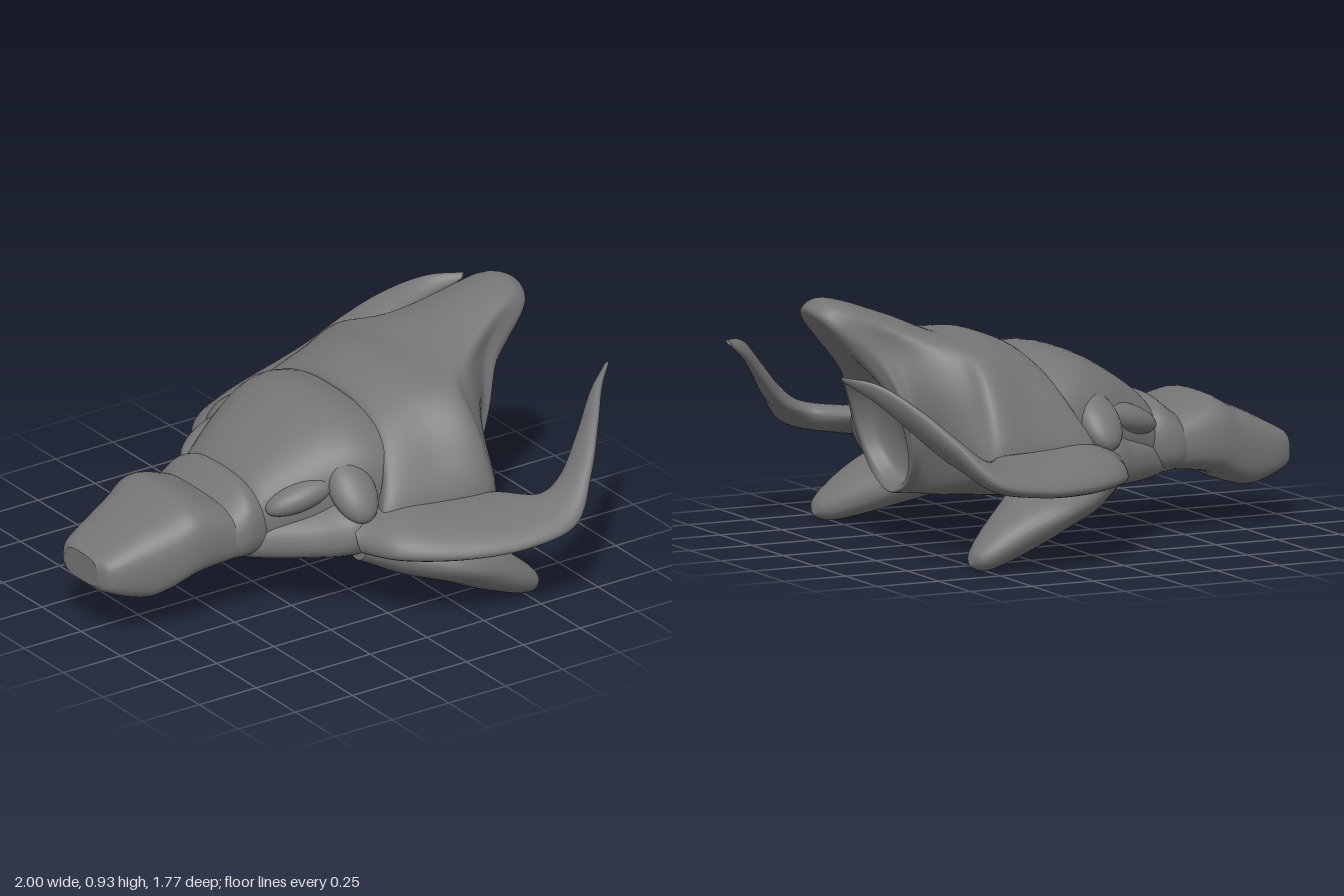
import * as THREE from 'three';

const V = (p) => new THREE.Vector3(...p);

// Smooth skin through closed rings of control points, with flat end caps
function skin(rings, around = 48, steps = 8) {
  const curves = rings.map((r) => new THREE.CatmullRomCurve3(r, true));
  const rows = (rings.length - 1) * steps;
  const pos = [], idx = [], grid = [];
  for (let j = 0; j < around; j++) {
    const rail = new THREE.CatmullRomCurve3(curves.map((c) => c.getPoint(j / around)));
    grid.push(rail.getPoints(rows));
  }
  for (let i = 0; i <= rows; i++) for (let j = 0; j < around; j++) pos.push(...grid[j][i].toArray());
  for (let i = 0; i < rows; i++) for (let j = 0; j < around; j++) {
    const k = (j + 1) % around, a = i * around + j, b = i * around + k;
    idx.push(a, b, a + around, b, b + around, a + around);
  }
  for (const i of [0, rows]) {
    const base = pos.length / 3, mid = new THREE.Vector3();
    for (let j = 0; j < around; j++) {
      pos.push(...grid[j][i].toArray());
      mid.addScaledVector(grid[j][i], 1 / around);
    }
    pos.push(...mid.toArray());
    for (let j = 0; j < around; j++) {
      const a = base + j, b = base + (j + 1) % around;
      idx.push(...(i ? [a, b, base + around] : [b, a, base + around]));
    }
  }
  const g = new THREE.BufferGeometry();
  g.setAttribute('position', new THREE.Float32BufferAttribute(pos, 3));
  g.setIndex(idx);
  g.computeVertexNormals();
  return g;
}

// Full ring from a half outline running top centre -> +z side -> bottom centre
function mirrorRing(half) {
  const back = half.slice(1, -1).reverse().map(([x, y, z]) => [x, y, -z]);
  return [...half, ...back].map(V);
}

// Rounded hull section: x, top, bottom, half width; e = 1 is elliptical, less is boxier
function section([x, top, bot, w], e) {
  const mid = bot + (top - bot) * 0.4, half = [];
  for (let i = 0; i <= 8; i++) {
    const a = (i / 8) * Math.PI, c = Math.cos(a);
    const y = mid + (c > 0 ? top - mid : bot - mid) * Math.abs(c) ** e;
    half.push([x, y, i % 8 ? w * Math.sin(a) ** e : 0]);
  }
  return mirrorRing(half);
}

// Blade-like limb: stations of [outer edge, inner edge, half thickness]
function limb(stations, side) {
  const st = stations.map(([o, i, t]) => {
    const O = V(o), I = V(i);
    O.z *= side;
    I.z *= side;
    return { c: O.clone().add(I).multiplyScalar(0.5), a: O.sub(I).multiplyScalar(0.5), t };
  });
  const rings = st.map(({ c, a, t }, k) => {
    const dir = st[Math.min(k + 1, st.length - 1)].c.clone().sub(st[Math.max(k - 1, 0)].c);
    const n = dir.cross(a).normalize().multiplyScalar(t);
    return Array.from({ length: 10 }, (_, j) => {
      const q = (j / 10) * Math.PI * 2;
      return c.clone().addScaledVector(a, Math.cos(q)).addScaledVector(n, Math.sin(q));
    });
  });
  return skin(rings, 30);
}

// Nozzle ring on a plane that leans back with height
function nozzleRing(x, ry, rz) {
  return Array.from({ length: 12 }, (_, j) => {
    const q = (j / 12) * Math.PI * 2, dy = ry * Math.cos(q);
    return new THREE.Vector3(x + dy * 0.25, 0.44 + dy, rz * Math.sin(q));
  });
}

export function createModel() {
  const group = new THREE.Group();
  const mat = new THREE.MeshStandardMaterial({ color: 0x757575 });
  const add = (name, geo) => {
    const m = new THREE.Mesh(geo, mat);
    m.name = name;
    group.add(m);
    return m;
  };
  const hull = (name, e, rows) => add(name, skin(rows.map((r) => section(r, e))));
  const pair = (name, stations) => {
    for (const side of [1, -1]) add(name + (side > 0 ? 'Front' : 'Back'), limb(stations, side));
  };
  const blob = (name, centre, radii, turn) => {
    const m = add(name, new THREE.SphereGeometry(1, 32, 20));
    m.position.set(...centre);
    m.scale.set(...radii);
    m.rotation.set(...turn);
  };

  // Blunt snout, collar, domed back and wide lower hull
  hull('snout', 0.65, [
    [-1, 0.32, 0.21, 0.105], [-0.975, 0.335, 0.19, 0.15], [-0.83, 0.41, 0.14, 0.21],
    [-0.75, 0.445, 0.155, 0.235], [-0.65, 0.49, 0.2, 0.262], [-0.45, 0.43, 0.23, 0.265],
  ]);
  hull('collar', 0.75, [
    [-0.54, 0.42, 0.235, 0.25], [-0.47, 0.475, 0.215, 0.276], [-0.42, 0.51, 0.21, 0.276], [-0.35, 0.5, 0.21, 0.26],
  ]);
  hull('domedBack', 0.8, [
    [-0.42, 0.47, 0.25, 0.24], [-0.35, 0.545, 0.24, 0.275], [-0.13, 0.68, 0.24, 0.38],
    [0, 0.71, 0.24, 0.42], [0.15, 0.68, 0.24, 0.43],
  ]);
  hull('lowerHull', 0.75, [
    [-0.46, 0.34, 0.22, 0.22], [-0.38, 0.38, 0.2, 0.275], [-0.23, 0.42, 0.2, 0.41], [-0.12, 0.47, 0.2, 0.49],
    [0, 0.47, 0.2, 0.49], [0.2, 0.4, 0.21, 0.46], [0.42, 0.36, 0.21, 0.28],
  ]);
  blob('bellyPlate', [-0.04, 0.22, 0], [0.54, 0.035, 0.2], [0, 0, 0]);

  // Rear cowl: half outlines from the front edge to the rim with its tail spur
  const shell = [
    [[0.1, 0.705, 0], [0.1, 0.69, 0.16], [0.08, 0.63, 0.31], [0.04, 0.52, 0.43], [-0.02, 0.37, 0.5], [0.02, 0.24, 0.4], [0.02, 0.2, 0]],
    [[0.25, 0.78, 0], [0.25, 0.765, 0.16], [0.24, 0.7, 0.33], [0.23, 0.56, 0.465], [0.2, 0.37, 0.545], [0.22, 0.24, 0.4], [0.22, 0.2, 0]],
    [[0.41, 0.79, 0], [0.4, 0.78, 0.16], [0.39, 0.73, 0.36], [0.4, 0.57, 0.505], [0.4, 0.35, 0.565], [0.4, 0.24, 0.34], [0.4, 0.2, 0]],
    [[0.6, 0.865, 0], [0.56, 0.83, 0.13], [0.46, 0.73, 0.31], [0.46, 0.56, 0.44], [0.46, 0.36, 0.52], [0.47, 0.24, 0.28], [0.46, 0.2, 0]],
    [[0.85, 0.935, 0], [0.82, 0.905, 0.11], [0.65, 0.76, 0.18], [0.59, 0.57, 0.245], [0.55, 0.4, 0.235], [0.53, 0.26, 0.15], [0.53, 0.2, 0]],
  ].map(mirrorRing);
  // The lip tucks inwards; the rim and spur roll over into the recessed nozzle
  const lip = shell[0].map((p) => new THREE.Vector3(p.x + 0.01, 0.3 + (p.y - 0.3) * 0.88, p.z * 0.88));
  const mouth = nozzleRing(0.6, 0.21, 0.19);
  const roll = (t, push, spur) => shell[4].map((p, j) => {
    const q = p.clone().lerp(mouth[j], t);
    q.x += push + spur * Math.max(0, (p.y - 0.6) / 0.335);
    return q;
  });
  const bowl = [nozzleRing(0.545, 0.185, 0.165), nozzleRing(0.51, 0.1, 0.09), nozzleRing(0.505, 0.02, 0.02)];
  add('rearCowl', skin([lip, ...shell, roll(0.13, 0.035, 0.045), roll(0.35, 0.03, 0.055), mouth, ...bowl], 72));

  // Sweeping horns that twist towards the tip, and the stubby legs beneath them
  pair('horn', [
    [[-0.12, 0.28, 0.5], [-0.08, 0.36, 0.4], 0.05], [[-0.06, 0.3, 0.66], [0.08, 0.39, 0.42], 0.06],
    [[0.15, 0.3, 0.8], [0.22, 0.385, 0.48], 0.055], [[0.38, 0.315, 0.875], [0.42, 0.39, 0.55], 0.05],
    [[0.57, 0.36, 0.88], [0.54, 0.395, 0.67], 0.045], [[0.69, 0.5, 0.79], [0.65, 0.425, 0.655], 0.035],
    [[0.8, 0.625, 0.67], [0.77, 0.525, 0.59], 0.026], [[0.9, 0.705, 0.55], [0.88, 0.63, 0.515], 0.018],
    [[0.997, 0.725, 0.46], [0.98, 0.705, 0.45], 0.006],
  ]);
  pair('leg', [
    [[-0.1, 0.3, 0.52], [-0.08, 0.25, 0.38], 0.05], [[0.05, 0.25, 0.66], [0.05, 0.23, 0.3], 0.08],
    [[0.2, 0.21, 0.735], [0.2, 0.19, 0.27], 0.09], [[0.35, 0.15, 0.73], [0.33, 0.13, 0.39], 0.09],
    [[0.53, 0.05, 0.685], [0.53, 0.035, 0.565], 0.043], [[0.562, 0.03, 0.635], [0.562, 0.03, 0.615], 0.008],
  ]);

  // Shoulder pods lying along the dome and ridges running down its flanks
  for (const [side, label] of [[1, 'Front'], [-1, 'Back']]) {
    blob('shoulderPod' + label, [-0.23, 0.46, 0.29 * side], [0.15, 0.055, 0.07], [0, -0.2 * side, 0.3]);
    blob('shoulderRidge' + label, [-0.08, 0.475, 0.39 * side], [0.085, 0.06, 0.135], [0.75 * side, 0, 0.2]);
  }
  return group;
}
